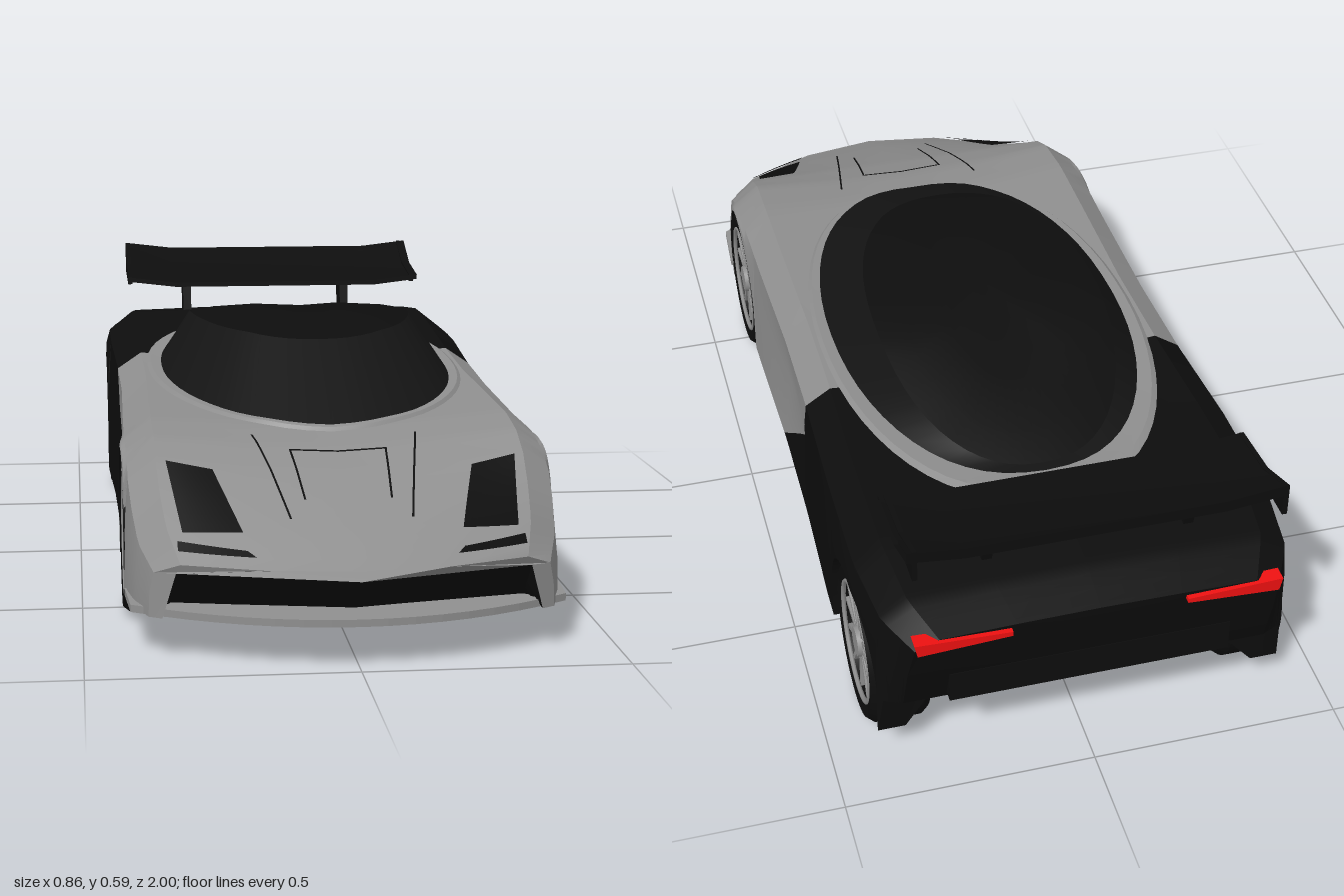
import * as THREE from 'three';
import { toCreasedNormals } from 'three/addons/utils/BufferGeometryUtils.js';

const GREY = 0x8f8f8f, BLACK = 0x0d0d0d, GLASS = 0x141414, RED = 0xee1111;
const { clamp, lerp } = THREE.MathUtils;
const V = (x, y, z) => new THREE.Vector3(x, y, z);
const mat = color => new THREE.MeshStandardMaterial({ color, side: THREE.DoubleSide });

function add(parent, name, geometry, color) {
  const mesh = new THREE.Mesh(geometry, mat(color));
  mesh.name = name;
  parent.add(mesh);
  return mesh;
}
const soup = (tris, crease = 0.4) => toCreasedNormals(
  new THREE.BufferGeometry().setFromPoints(tris.flat()), crease);

// Piecewise linear lookup in rows whose first entry descends
function lookup(rows, t) {
  let i = 0;
  while (i < rows.length - 2 && t < rows[i + 1][0]) i++;
  const a = rows[i], b = rows[i + 1], k = clamp((t - a[0]) / (b[0] - a[0]), 0, 1);
  return a.map((v, n) => lerp(v, b[n], k));
}

// Triangles between neighbouring closed rings; each(j) chooses the list to fill
function loft(rings, each) {
  for (let i = 0; i < rings.length - 1; i++) {
    const n = rings[i].length;
    for (let j = 0; j < n; j++) {
      const k = (j + 1) % n, [p, q] = [rings[i], rings[i + 1]];
      each(j).push([p[j], q[j], p[k]], [q[j], q[k], p[k]]);
    }
  }
}
function cap(ring, flip) {
  const faces = THREE.ShapeUtils.triangulateShape(ring.map(p => new THREE.Vector2(p.x, p.y)), []);
  return faces.map(f => (flip ? [f[2], f[1], f[0]] : f).map(i => ring[i]));
}

// Body stations: z, half width, shoulder height, fender crown height, centre height
const BODY = [
  [1.00, .37, .165, .185, .188], [.90, .395, .20, .235, .235], [.80, .405, .25, .285, .275],
  [.70, .41, .295, .335, .312], [.60, .41, .325, .367, .34], [.48, .412, .343, .382, .36],
  [.30, .41, .345, .387, .365], [0, .405, .36, .396, .37], [-.24, .408, .372, .408, .385],
  [-.50, .417, .39, .422, .405], [-.60, .418, .392, .428, .415], [-.75, .418, .392, .436, .442],
  [-.90, .40, .385, .422, .43], [-.99, .355, .372, .395, .40]];
const FLOOR = [[1, .168], [.9, .095], [.86, .08], [-.55, .08], [-.9, .17], [-.99, .17]];
const ROOF = [[.27, .518], [.2, .528], [0, .533], [-.15, .53], [-.25, .518], [-.45, .472], [-.62, .44]];
const AXLES = [.52, -.73], HUB_Y = .163, ARCH = .168, SPAN = .165;

// Curved nose in plan and undercut tail
function bend(p) {
  const nose = clamp((p.z - .6) / .4, 0, 1), tail = clamp((-p.z - .9) / .09, 0, 1);
  p.z += tail * .33 * Math.max(0, .38 - p.y) - nose * .9 * p.x * p.x;
  return p;
}

// Half cross-section from floor centre to top centre
function section(z, archY) {
  const [, w, ys, yf, yc] = lookup(BODY, z), fl = lookup(FLOOR, z)[1];
  const yb = archY ?? (z < -.9 ? .17 : .08), xi = archY ? .28 : .33;
  const door = Math.exp(-((z + .02) ** 2) / .05);
  return [[0, fl], [xi, fl], [xi + (archY ? 0 : .025), yb], [w + .01, yb],
    [w + .008 - .02 * door, lerp(yb, ys, .55)], [w, ys], [w * .87, yf],
    [w * .45, lerp(yc, yf, .35)], [0, yc]];
}
function topY(x, z) {
  const s = section(z).slice(5).reverse();
  x = Math.abs(x);
  let i = 0;
  while (i < 2 && x > s[i + 1][0]) i++;
  return lerp(s[i][1], s[i + 1][1], clamp((x - s[i][0]) / (s[i + 1][0] - s[i][0]), 0, 1));
}

// Paint boundary: positive ahead of the diagonal edge on the door
const paint = p => p.z - lerp(.03, -.24, clamp((p.y - .11) / .17, 0, 1));
function clip(tri, sign) {
  const out = [];
  tri.forEach((p, i) => {
    const q = tri[(i + 1) % 3], a = sign * paint(p), b = sign * paint(q);
    if (a >= 0) out.push(p);
    if (a * b < 0) out.push(p.clone().lerp(q, a / (a - b)));
  });
  return out.slice(2).map((p, i) => [out[0], out[i + 1], p]);
}

function addBody(car) {
  const stations = [[-.99]];
  for (let i = 0; i <= 66; i++) {
    const z = 1 - i * .03;
    if (AXLES.every(c => Math.abs(z - c) > SPAN + .002)) stations.push([z]);
  }
  for (const c of AXLES) {
    stations.push([c + SPAN + .0005], [c - SPAN - .0005]);
    for (let k = 0; k <= 18; k++) {
      const d = SPAN * Math.cos(Math.PI * k / 18);
      stations.push([c + d, HUB_Y + Math.sqrt(ARCH * ARCH - d * d)]);
    }
  }
  stations.sort((a, b) => b[0] - a[0]);
  const rings = stations.map(([z, archY]) => {
    const h = section(z, archY), left = h.map(([x, y]) => bend(V(x, y, z)));
    return left.concat(h.slice(1, -1).reverse().map(([x, y]) => bend(V(-x, y, z))));
  });
  const under = [], shell = [];
  loft(rings, j => (j < 3 || j > 12 ? under : shell));
  shell.push(...cap(rings[0], false), ...cap(rings.at(-1), true));
  add(car, 'frontBody', soup(shell.flatMap(t => clip(t, 1))), GREY);
  add(car, 'rearBody', soup(shell.flatMap(t => clip(t, -1))), BLACK);
  add(car, 'underbodyAndGrille', soup(under), BLACK);
}

// Patch laid on the upper body, corners [x, z] in order
function addPatch(car, name, [a, b, c, d], color, lift = .004) {
  for (const s of [1, -1]) {
    const n = 8, tris = [], at = (u, v) => {
      const [x, z] = [0, 1].map(k => lerp(lerp(a[k], b[k], u / n), lerp(d[k], c[k], u / n), v / n));
      return bend(V(s * x, topY(x, z) + lift, z));
    };
    for (let u = 0; u < n; u++) for (let v = 0; v < n; v++) {
      const q = [at(u, v), at(u, v + 1), at(u + 1, v + 1), at(u + 1, v)];
      if (s < 0) q.reverse();
      tris.push([q[0], q[1], q[2]], [q[0], q[2], q[3]]);
    }
    add(car, name, soup(tris), color);
  }
}

// Egg-shaped ring around the cabin
function cabinRing(zf, zr, hw, height) {
  return Array.from({ length: 56 }, (_, i) => {
    const a = i / 56 * 2 * Math.PI, s = Math.sin(a), c = Math.cos(a);
    const x = -hw * Math.sign(s) * Math.abs(s) ** .88;
    const z = (zf + zr) / 2 + (zf - zr) / 2 * Math.sign(c) * Math.abs(c) ** .95;
    return V(x, height(x, z), z);
  });
}
function addCabin(car) {
  const deck = lift => (x, z) => topY(x, z) + lift;
  const roof = drop => (x, z) => Math.max(lookup(ROOF, z)[1] - drop, topY(x, z) + .014);
  const band = [], glass = [], top = [];
  loft([0, 1, 2, 3, 4].map(i => cabinRing(lerp(.52, .5, i / 4), lerp(-.7, -.62, i / 4),
    lerp(.345, .312, i / 4), deck(i ? .009 : .002))), () => band);
  const edge = cabinRing(.26, -.6, .245, roof(.015));
  loft([cabinRing(.505, -.625, .315, deck(.011)), edge], () => glass);
  loft([edge, cabinRing(.2, -.53, .19, roof(.006)), cabinRing(.1, -.4, .1, roof(.001)),
    cabinRing(-.1, -.1, 0, roof(0))], () => top);
  add(car, 'cabinSurround', soup(band), GREY);
  add(car, 'windows', soup(glass), GLASS);
  add(car, 'roof', soup(top), BLACK);
}

function slab(points, depth) {
  const shape = new THREE.Shape(points.map(p => new THREE.Vector2(...p)));
  return new THREE.ExtrudeGeometry(shape, { depth, bevelEnabled: false });
}

function addWing(car) {
  const wing = new THREE.Group(), tris = [];
  wing.name = 'rearWing';
  const profile = [[-.72, .502], [-.85, .505], [-.955, .553], [-.955, .577], [-.85, .53], [-.72, .513]];
  const rings = [[.36, .013], [.25, 0], [-.25, 0], [-.36, .013]].map(([x, dy]) =>
    profile.map(([z, y]) => V(x, y + dy, z)));
  loft(rings, () => tris);
  add(wing, 'wingBlade', soup(tris), BLACK);
  // Endplates and struts are cut in the side plane: shape x runs towards the tail
  for (const s of [1, -1]) {
    const plate = add(wing, 'endplate', slab([[.72, .51], [.955, .52], [.955, .59], [.85, .545], [.72, .527]], .01), BLACK);
    plate.position.x = s * .355 + .005;
    const strut = add(wing, 'strut', slab([[.77, .42], [.84, .42], [.87, .53], [.78, .51]], .02), BLACK);
    strut.position.x = s * .2 + .01;
    plate.rotation.y = strut.rotation.y = Math.PI / 2;
    plate.position.z = strut.position.z = 0;
    plate.scale.z = strut.scale.z = -1;
    plate.position.x -= .01;
    strut.position.x -= .02;
  }
  car.add(wing);
}

// Wheel with its axle along x and its outer face at +x
function makeWheel() {
  const wheel = new THREE.Group();
  const tyre = [[.122, -.058], [.15, -.06], [.162, -.045], [.162, .045], [.15, .06], [.125, .056], [.122, -.058]];
  const turn = (name, geo, color, x = 0) => {
    const m = add(wheel, name, geo, color);
    m.rotation.z = -Math.PI / 2;
    m.position.x = x;
  };
  turn('tyre', toCreasedNormals(new THREE.LatheGeometry(tyre.map(p => new THREE.Vector2(...p)), 40), .5), BLACK);
  turn('wheelDisc', new THREE.CylinderGeometry(.123, .123, .06, 40), BLACK);
  turn('hub', new THREE.CylinderGeometry(.03, .036, .03, 20), GREY, .042);
  const rim = add(wheel, 'rim', new THREE.TorusGeometry(.122, .005, 6, 40), GREY);
  rim.rotation.y = Math.PI / 2;
  rim.position.x = .054;
  for (let i = 0; i < 12; i++) {
    const spoke = add(wheel, 'spoke', new THREE.BoxGeometry(.014, .095, .01), GREY);
    const a = i / 12 * Math.PI * 2;
    spoke.position.set(.042, .075 * Math.cos(a), .075 * Math.sin(a));
    spoke.rotation.x = a;
  }
  return wheel;
}

export function createModel() {
  const car = new THREE.Group();
  car.name = 'sportsCar';
  addBody(car);
  addCabin(car);
  addWing(car);

  // Lamps, slots and shut lines on the nose
  addPatch(car, 'headlight', [[.338, .705], [.25, .72], [.205, .905], [.315, .915]], BLACK);
  addPatch(car, 'noseSlot', [[.325, .94], [.2, .955], [.185, .972], [.325, .968]], BLACK);
  addPatch(car, 'hoodSeam', [[.165, .55], [.161, .55], [.112, .86], [.116, .86]], BLACK, .002);
  addPatch(car, 'hoodPanelSide', [[.096, .62], [.092, .62], [.08, .8], [.084, .8]], BLACK, .002);
  addPatch(car, 'hoodPanelTop', [[0, .62], [.096, .62], [.096, .626], [0, .626]], BLACK, .002);

  // Front splitter following the curve of the nose
  const lip = [[-.42, -.7]];
  for (let i = -8; i <= 8; i++) lip.push([i * .0515, .88 * (i * .0515) ** 2 - .975]);
  lip.push([.42, -.7]);
  const splitter = add(car, 'splitter', slab(lip, .014), GREY);
  splitter.rotation.x = -Math.PI / 2;
  splitter.position.y = .078;
  // Lay the outline flat: shape y points towards -z
  for (const s of [1, -1]) {
    const lamp = add(car, 'tailLight', slab([[.17, .378], [.352, .368], [.358, .396], [.17, .388]]
      .map(([x, y]) => [s * x, y]), .03), RED);
    lamp.position.z = -.998;
  }
  const bumper = add(car, 'rearBumper', new THREE.BoxGeometry(.56, .07, .05), BLACK);
  bumper.position.set(0, .22, -.925);

  for (const z of AXLES) for (const s of [1, -1]) {
    const wheel = makeWheel();
    wheel.name = z > 0 ? 'frontWheel' : 'rearWheel';
    wheel.position.set(s * .36, HUB_Y, z);
    if (s < 0) wheel.rotation.y = Math.PI;
    car.add(wheel);
  }
  return car;
}
